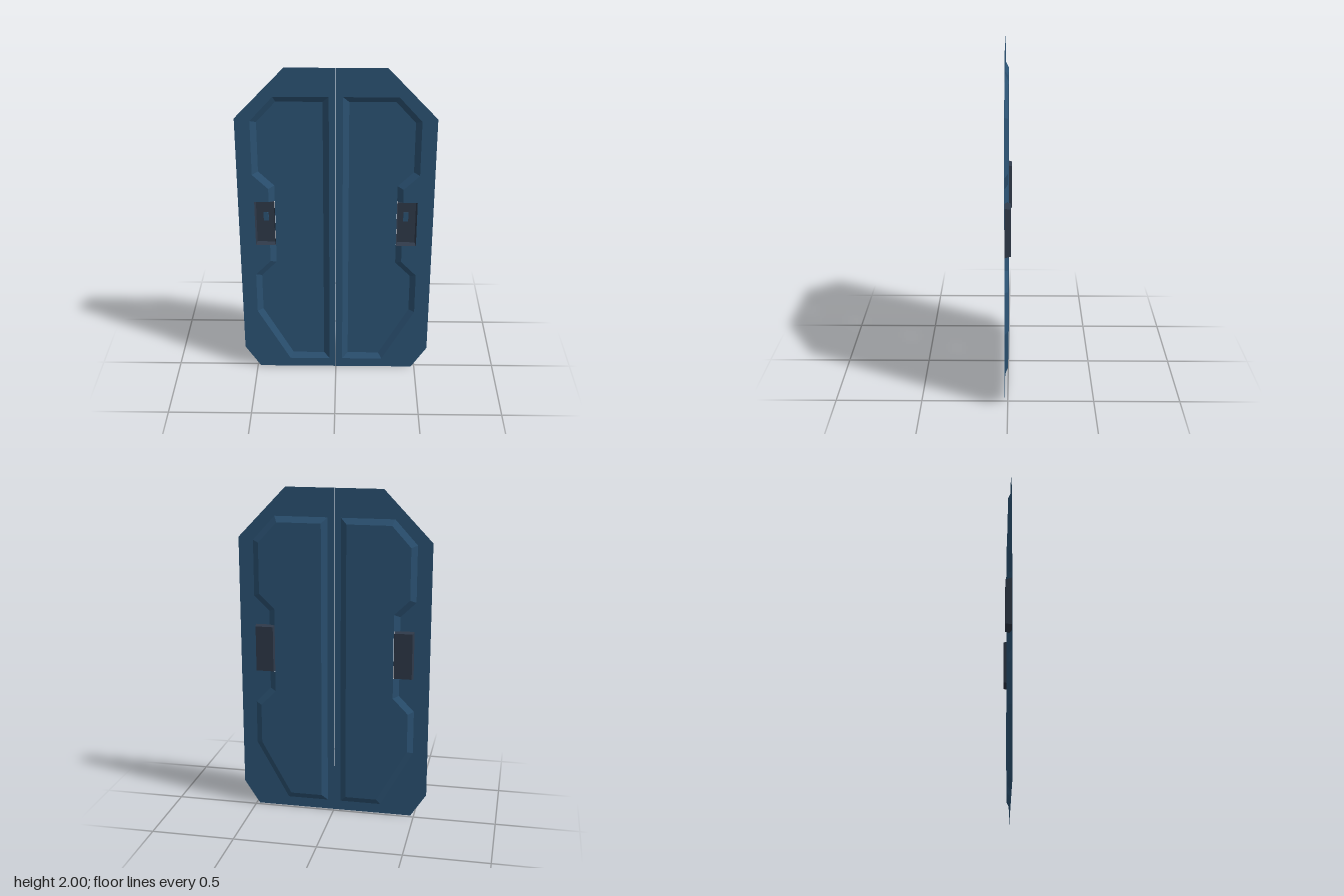
import * as THREE from 'three';

const FRONT = 0.018, FLOOR = 0, BACK = -0.018;

// Half outline of the door, counter-clockwise
const DOOR = [[0.001, 0], [0.48, 0], [0.575, 0.145], [0.575, 1.7], [0.288, 2], [0.001, 2]];
// Rim of the pressed panel, running from above the handle round to below it
const RIM = [[0.395, 1.175], [0.395, 1.26], [0.487, 1.35], [0.487, 1.685], [0.355, 1.83], [0.04, 1.83],
  [0.04, 0.06], [0.29, 0.06], [0.487, 0.415], [0.487, 0.68], [0.395, 0.775], [0.395, 0.885]];

const rect = (x0, x1, y0, y1) => [[x0, y0], [x1, y0], [x1, y1], [x0, y1]];

// Mirror a path to the other side, keeping it counter-clockwise
const side = (pts, s) => (s > 0 ? pts : pts.map(([x, y]) => [-x, y]).reverse());

// Move every corner of a closed counter-clockwise path inwards
function inset(pts, d) {
  const n = pts.length;
  const normal = (a, b) => {
    const l = Math.hypot(b[0] - a[0], b[1] - a[1]);
    return [-(b[1] - a[1]) / l, (b[0] - a[0]) / l];
  };
  return pts.map((p, i) => {
    const u = normal(pts[(i + n - 1) % n], p), v = normal(p, pts[(i + 1) % n]);
    const k = d / (1 + u[0] * v[0] + u[1] * v[1]);
    return [p[0] + (u[0] + v[0]) * k, p[1] + (u[1] + v[1]) * k];
  });
}

// Flat face at depth z, with an optional hole
function face(pts, z, hole) {
  const toV = (list) => list.map(([x, y]) => new THREE.Vector2(x, y));
  const shape = new THREE.Shape(toV(pts));
  if (hole) shape.holes.push(new THREE.Path(toV(hole)));
  return new THREE.ShapeGeometry(shape).translate(0, 0, z);
}

// Sloping walls between two paths at different depths
function walls(a, za, b, zb, closed) {
  const pos = [], n = a.length;
  for (let i = 0; i < (closed ? n : n - 1); i++) {
    const j = (i + 1) % n;
    const A = [...a[i], za], B = [...a[j], za], C = [...b[j], zb], D = [...b[i], zb];
    pos.push(...A, ...B, ...C, ...A, ...C, ...D);
  }
  const g = new THREE.BufferGeometry();
  g.setAttribute('position', new THREE.Float32BufferAttribute(pos, 3));
  g.computeVertexNormals();
  return g;
}

function material(name, color) {
  const m = new THREE.MeshStandardMaterial({ color, side: THREE.DoubleSide });
  m.name = name;
  return m;
}

export function createModel() {
  const model = new THREE.Group();
  model.name = 'doubleDoor';
  const blue = material('blue', 0x2d5577);
  const dark = material('darkGrey', 0x2f3a4a);

  for (const s of [1, -1]) {
    const door = new THREE.Group();
    door.name = s > 0 ? 'leftDoor' : 'rightDoor';
    model.add(door);
    const add = (name, geometry, mat) => {
      const mesh = new THREE.Mesh(geometry, mat);
      mesh.name = name;
      door.add(mesh);
    };

    // Sheet, cut out for the pressed panel and the handle cup
    const cutout = [...RIM, [0.48, 0.885], [0.48, 1.175]];
    add('doorSheet', face(side(DOOR, s), FRONT, side(cutout, s)), blue);

    // Pressed panel
    const floor = inset(RIM, 0.035);
    add('panelSlopes', walls(side(RIM, s), FRONT, side(floor, s), FLOOR, false), blue);
    add('panelFloor', face(side(floor, s), FLOOR), blue);

    // Handle cup, open at the front
    const cupRim = rect(0.36, 0.48, 0.885, 1.175);
    const cupBase = inset(cupRim, 0.007);
    add('handleCupWalls', walls(side(cupRim, s), FRONT, side(cupBase, s), BACK, true), dark);
    add('handleCupBase', face(side(cupBase, s), BACK), dark);

    // Small latch inside the cup
    const latch = new THREE.BoxGeometry(0.03, 0.055, 0.006);
    add('latch', latch.translate(s * 0.415, 1.065, BACK + 0.0035), blue);
  }
  return model;
}
